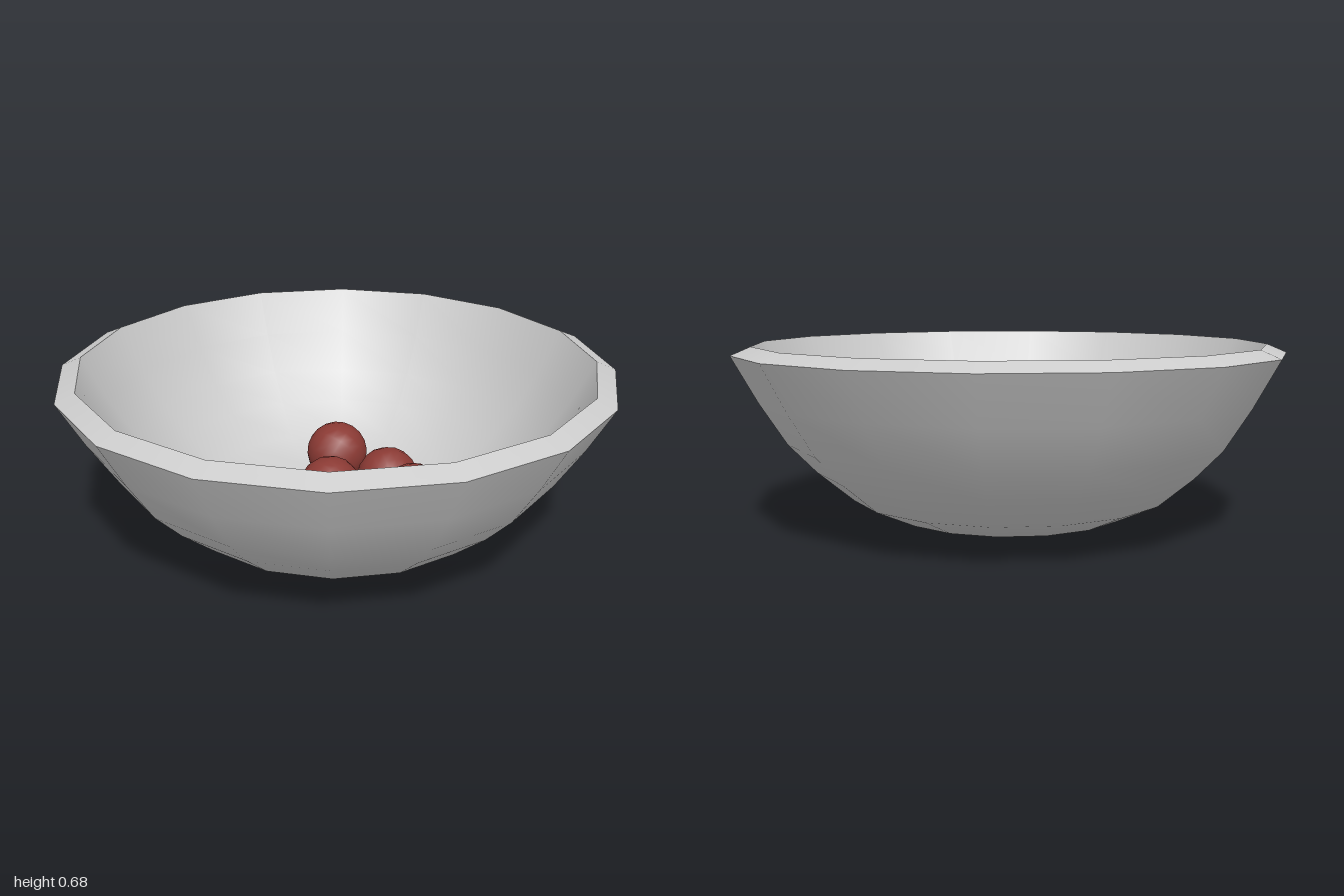
import * as THREE from 'three';

const SIDES = 16;

// One smooth band of the bowl, turned from [radius, height] pairs
function turned(name, profile, material) {
  const points = profile.map(([r, y]) => new THREE.Vector2(r, y));
  const mesh = new THREE.Mesh(new THREE.LatheGeometry(points, SIDES), material);
  mesh.name = name;
  return mesh;
}

export function createModel() {
  const model = new THREE.Group();
  model.name = 'bowlOfBerries';

  const grey = new THREE.MeshStandardMaterial({ color: 0xcccccc });
  const red = new THREE.MeshStandardMaterial({ color: 0x8b3a34 });

  // Bowl: separate bands keep the rim edges sharp
  const bowl = new THREE.Group();
  bowl.name = 'bowl';
  bowl.add(
    turned('bowlOutside', [
      [0, 0], [0.43, 0.05], [0.585, 0.12], [0.715, 0.23],
      [0.815, 0.335], [0.91, 0.485], [1, 0.65],
    ], grey),
    turned('bowlRim', [[1, 0.65], [0.93, 0.68]], grey),
    turned('bowlInside', [
      [0.93, 0.68], [0.845, 0.515], [0.75, 0.37], [0.65, 0.265],
      [0.53, 0.16], [0.39, 0.09], [0, 0.03],
    ], grey),
  );
  model.add(bowl);

  // Berries resting in the bottom
  const berries = new THREE.Group();
  berries.name = 'berries';
  const berryShape = new THREE.SphereGeometry(0.12, 16, 10);
  [
    [-0.21, 0.16, -0.05],
    [0.02, 0.14, -0.06],
    [0.19, 0.19, -0.2],
    [0.245, 0.137, 0.03],
    [-0.04, 0.17, 0.18],
    [0.155, 0.172, 0.25],
  ].forEach(([x, y, z], i) => {
    const berry = new THREE.Mesh(berryShape, red);
    berry.name = `berry${i + 1}`;
    berry.position.set(x, y, z);
    berry.rotation.set(i * 0.7, i * 1.1, i * 0.4);
    berries.add(berry);
  });
  model.add(berries);

  return model;
}
